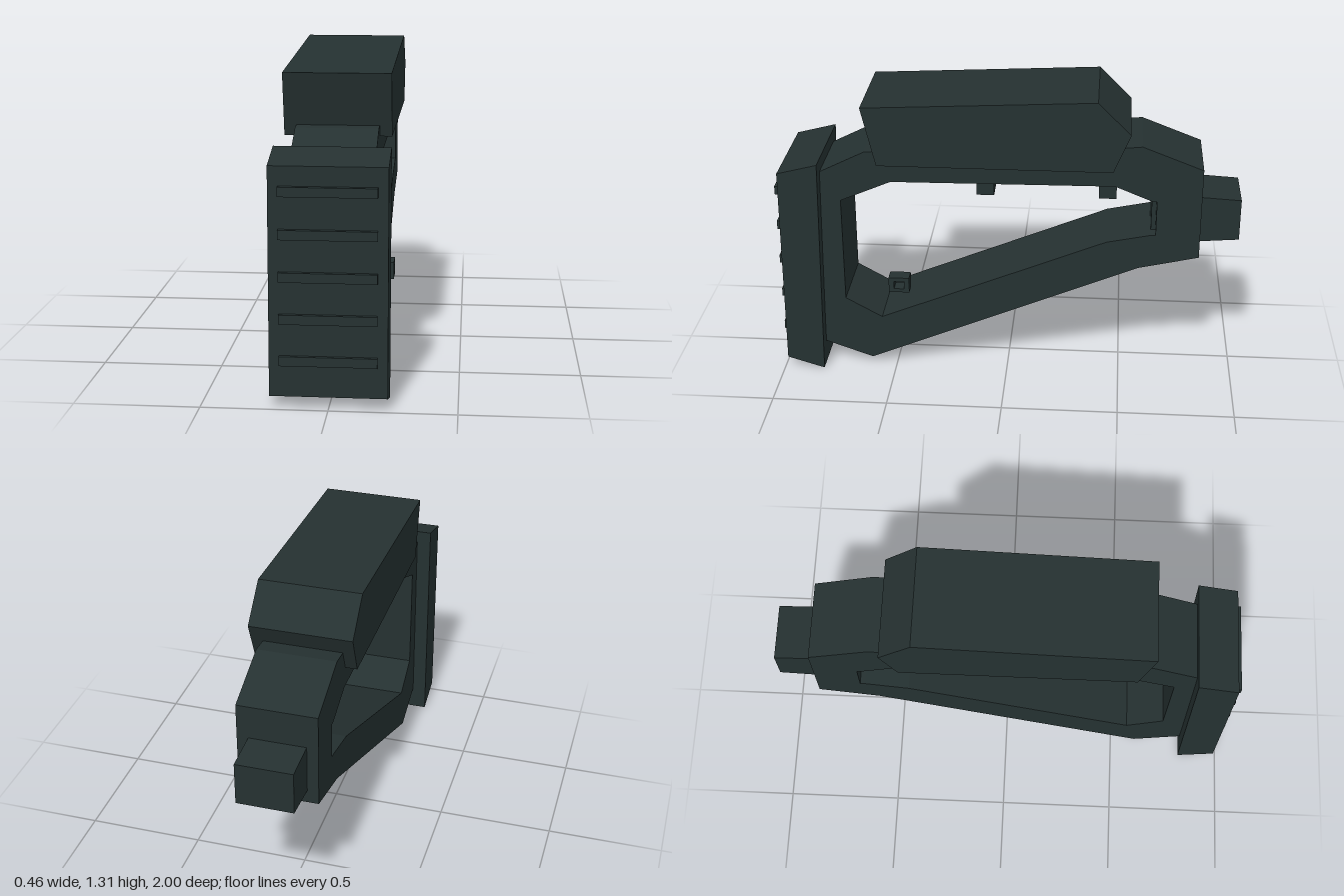
import * as THREE from 'three';

export function createModel() {
  const model = new THREE.Group();
  model.name = 'shoulderStock';
  const polymer = new THREE.MeshStandardMaterial({ color: 0x253131 });
  polymer.name = 'dark green grey polymer';

  const toPoints = (list) => list.map(([z, y]) => new THREE.Vector2(z, y));

  // Side profile given as [z, y] points, extruded across x and centred on x
  function addProfile(name, outline, width, hole, x = 0) {
    const shape = new THREE.Shape(toPoints(outline));
    if (hole) shape.holes.push(new THREE.Path(toPoints(hole)));
    const geometry = new THREE.ExtrudeGeometry(shape, { depth: width, bevelEnabled: false });
    geometry.translate(0, 0, -width / 2);
    geometry.rotateY(-Math.PI / 2);
    const mesh = new THREE.Mesh(geometry, polymer);
    mesh.name = name;
    mesh.position.x = x;
    model.add(mesh);
  }

  function addBox(name, width, height, depth, y, z) {
    const mesh = new THREE.Mesh(new THREE.BoxGeometry(width, height, depth), polymer);
    mesh.name = name;
    mesh.position.set(0, y, z);
    model.add(mesh);
  }

  // Open skeleton frame
  addProfile('frame', [
    [0.81, 0.94], [0.61, 1.04], [0.55, 1.045], [-0.47, 1.09], [-0.57, 1.1],
    [-0.83, 1.0], [-0.83, 0.59], [-0.57, 0.53], [0.61, 0.03], [0.82, 0.105],
  ], 0.335, [
    [0.72, 0.81], [0.5, 0.905], [-0.46, 0.915], [-0.62, 0.85], [-0.64, 0.85],
    [-0.64, 0.69], [-0.62, 0.69], [-0.43, 0.65], [0.56, 0.24], [0.72, 0.33],
  ]);
  addBox('innerWallPlate', 0.22, 0.16, 0.02, 0.77, -0.63);

  // Raised cheek rest
  addProfile('cheekRest', [
    [0.61, 1.26], [-0.38, 1.31], [-0.52, 1.17], [-0.45, 1.0], [0.55, 1.0],
  ], 0.435);

  // Butt pad with grip ribs
  addProfile('buttPad', [[0.977, 0.955], [0.803, 1.0], [0.823, 0], [0.986, 0.05]], 0.46);
  for (let i = 0; i < 5; i++) {
    addBox('gripRib', 0.38, 0.038, 0.03, 0.195 + i * 0.166, 0.985);
  }

  // Tapered mounting plug
  addProfile('mountingPlug', [[-0.82, 0.855], [-1, 0.845], [-1, 0.66], [-0.82, 0.645]], 0.24);

  // Lugs under the top rail
  for (const z of [0.095, -0.43]) addBox('railLug', 0.26, 0.09, 0.075, 0.885, z);

  // Small square sling loop on one side
  addProfile('slingLoop', [[0.515, 0.4], [0.515, 0.47], [0.425, 0.47], [0.425, 0.4]], 0.06,
    [[0.492, 0.417], [0.492, 0.453], [0.448, 0.453], [0.448, 0.417]], 0.195);

  return model;
}
